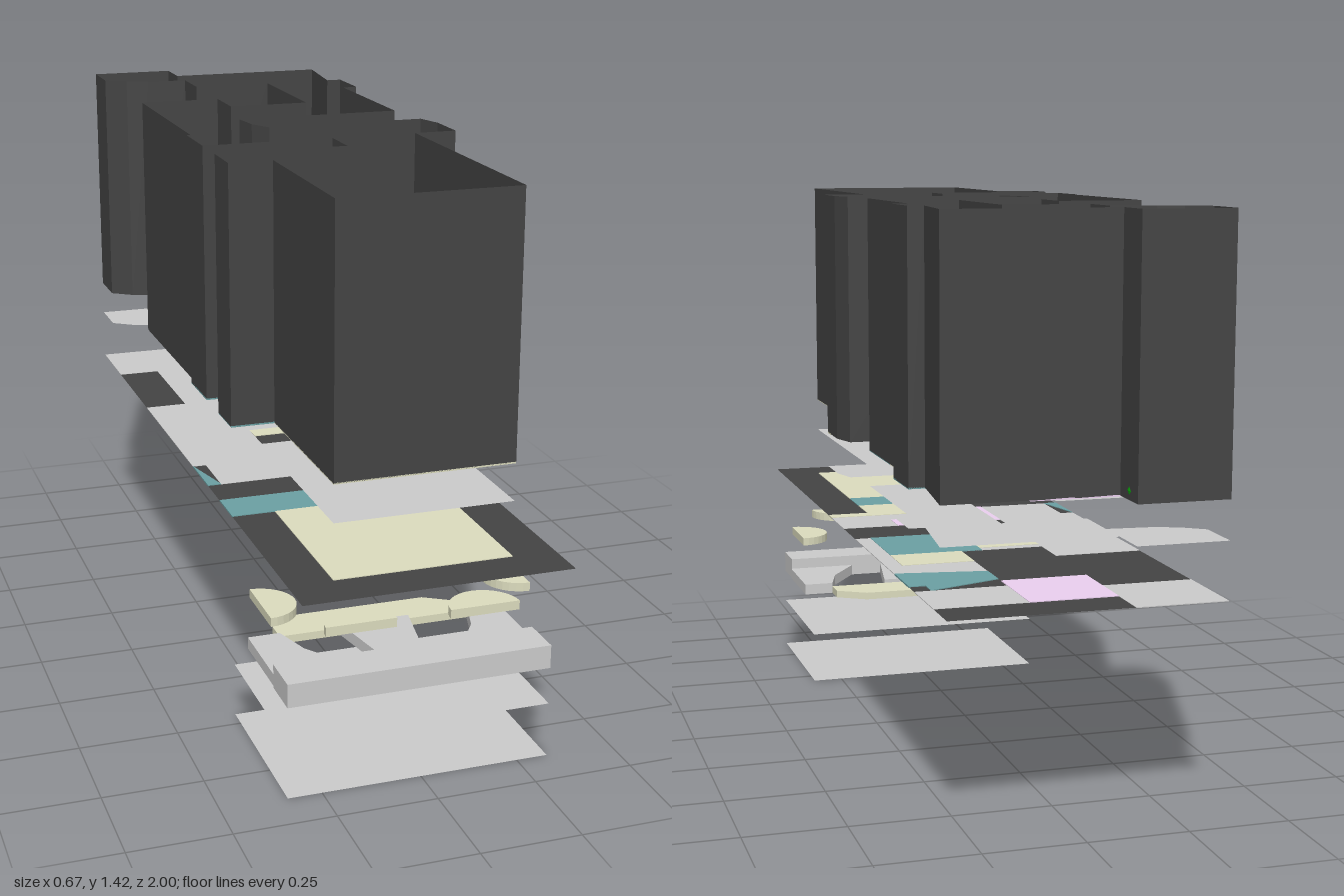
import * as THREE from 'three';

const GREY = 0xcccccc, DARK = 0x444444, TAN = 0xdcdcbe, TEAL = 0x6ba0a3;
const PINK = 0xebcff0, CYAN = 0x14ffff, GREEN = 0x0aa60a;
const FLOOR = 0.775;
const materials = {};

function mat(color) {
  return materials[color] ??= new THREE.MeshStandardMaterial({
    color, flatShading: true, side: THREE.DoubleSide });
}

function add(parent, name, geometry, color) {
  const mesh = new THREE.Mesh(geometry, mat(color));
  mesh.name = name;
  parent.add(mesh);
  return mesh;
}

const rect = (x0, x1, z0, z1) => [[x0, z0], [x1, z0], [x1, z1], [x0, z1]];
const toShape = (pts) => new THREE.Shape(pts.map(([x, z]) => new THREE.Vector2(x, z)));

// flat sheet in the ground plane
function sheet(parent, name, pts, y, color) {
  const g = new THREE.ShapeGeometry(toShape(pts)).rotateX(Math.PI / 2).translate(0, y, 0);
  return add(parent, name, g, color);
}

// plan outline raised from y0 to y1
function slab(parent, name, pts, y0, y1, color) {
  const g = new THREE.ExtrudeGeometry(toShape(pts), { depth: y1 - y0, bevelEnabled: false });
  return add(parent, name, g.rotateX(Math.PI / 2).translate(0, y1, 0), color);
}

function box(parent, name, x, z, w, d, y0, y1, color, turn = 0) {
  const m = add(parent, name, new THREE.BoxGeometry(w, y1 - y0, d), color);
  m.position.set(x, (y0 + y1) / 2, z);
  m.rotation.y = turn;
  return m;
}

// half disc bulging towards the given angle in plan
function halfDisc(cx, cz, r, angle, n = 16) {
  return Array.from({ length: n + 1 }, (_, i) => {
    const a = angle - Math.PI / 2 + (Math.PI * i) / n;
    return [cx + r * Math.cos(a), cz + r * Math.sin(a)];
  });
}

// outline of all rooms, followed by the walls
const OUTLINE = [
  [-0.225, 0.89], [0.22, 0.89], [0.22, 0.22], [0.33, 0.22], [0.33, 0.1], [0.31, 0.03],
  [-0.105, 0.03], [-0.135, -0.03], [-0.145, -0.11],
  [0.29, -0.11], [0.29, -0.525], [0.33, -0.53], [0.33, -0.67], [0.29, -0.67], [0.315, -0.89],
  [-0.11, -0.89], [-0.11, -1], [-0.335, -1], [-0.335, -0.87], [-0.28, -0.83], [-0.22, -0.81],
  [-0.11, -0.8], [-0.11, -0.67], [0.105, -0.67], [0.105, -0.31], [-0.11, -0.31],
  [-0.11, -0.445], [-0.325, -0.445], [-0.325, 0.07], [-0.335, 0.07], [-0.335, 0.22],
  [0, 0.22], [0, 0.33], [-0.335, 0.33], [-0.335, 0.445], [-0.225, 0.445],
];

// coloured room areas
const ROOMS = [
  ['frontHall', TAN, rect(-0.225, 0.22, 0.445, 0.89)],
  ['crossPassage', TEAL, rect(-0.335, 0.22, 0.33, 0.445)],
  ['linkRoom', TAN, rect(0.09, 0.22, 0.22, 0.33)],
  ['linkStrip', TAN, rect(0.09, 0.33, 0.18, 0.22)],
  ['middleRoom', PINK, [[-0.11, 0.03], [0.18, 0.03], [0.18, 0.11], [0.09, 0.11], [0.09, 0.22], [-0.11, 0.22]]],
  ['sideWedge', TEAL, [[-0.335, 0.07], [-0.3, 0.22], [-0.335, 0.22]]],
  ['innerRoom', TAN, rect(-0.11, 0.05, -0.305, -0.11)],
  ['pool', TEAL, rect(0.05, 0.29, -0.33, -0.11)],
  ['landing', TAN, rect(0.105, 0.29, -0.45, -0.33)],
  ['bayRoom', TEAL, [[0.105, -0.65], [0.29, -0.72], [0.29, -0.67], [0.33, -0.67], [0.33, -0.53], [0.105, -0.565]]],
  ['backRoom', PINK, rect(-0.11, 0.105, -0.89, -0.67)],
];

// grey areas that show on the dark base plan
const GREY_AREAS = [
  rect(-0.335, -0.11, -1, -0.78), rect(-0.335, -0.11, -0.445, 0.07),
  rect(-0.3, -0.11, 0.07, 0.22), rect(0.18, 0.33, 0.03, 0.18), rect(0.09, 0.18, 0.11, 0.18),
  rect(0, 0.09, 0.22, 0.33), rect(0.105, 0.33, -0.89, -0.72), rect(0.105, 0.29, -0.565, -0.45),
  rect(0.29, 0.33, -0.53, -0.11), rect(-0.11, 0.105, -0.33, -0.305),
];

function addRooms(parent, y) {
  for (const [name, color, pts] of ROOMS) slab(parent, name, pts, y - 0.002, y + 0.002, color);
}

function buildWalls() {
  const positions = [], index = [];
  OUTLINE.forEach(([x, z], i) => {
    const [x2, z2] = OUTLINE[(i + 1) % OUTLINE.length];
    positions.push(x, FLOOR, z, x2, FLOOR, z2, x2, 1.425, z2, x, 1.425, z);
    const k = i * 4;
    index.push(k, k + 1, k + 2, k, k + 2, k + 3);
  });
  const g = new THREE.BufferGeometry();
  g.setAttribute('position', new THREE.Float32BufferAttribute(positions, 3));
  g.setIndex(index);
  g.computeVertexNormals();
  return g;
}

function buildProps() {
  const g = new THREE.Group();
  g.name = 'furnishings';
  const y = FLOOR + 0.002;
  // consoles in the front hall
  for (const x of [-0.153, 0.146]) box(g, 'sideConsole', x, 0.665, 0.085, 0.045, y, y + 0.02, CYAN);
  box(g, 'centreConsole', -0.002, 0.679, 0.12, 0.025, y, y + 0.02, CYAN);
  box(g, 'consoleBench', -0.002, 0.647, 0.12, 0.025, y, y + 0.025, GREY);
  // crates and boards
  box(g, 'board', 0.2, -0.635, 0.17, 0.05, y, y + 0.015, TAN, -0.1);
  box(g, 'crate', 0.098, -0.197, 0.035, 0.04, y, y + 0.025, TAN);
  box(g, 'crate', 0.152, -0.135, 0.04, 0.03, y, y + 0.025, TAN);
  box(g, 'crate', 0.258, -0.165, 0.05, 0.085, y, y + 0.025, TAN);
  box(g, 'step', 0.262, 0.165, 0.075, 0.03, FLOOR - 0.004, y + 0.015, TAN);
  box(g, 'bench', -0.278, -0.965, 0.06, 0.04, y, y + 0.015, GREY, 0.25);
  // bushes
  for (const [x, z, r] of [[-0.135, -0.945, 0.027], [-0.145, 0.07, 0.014], [-0.145, 0.195, 0.014]]) {
    const bush = add(g, 'bush', new THREE.SphereGeometry(r, 12, 8), GREEN);
    bush.position.set(x, FLOOR + r * 0.8, z);
    bush.scale.z = r > 0.02 ? 1.5 : 1;
  }
  return g;
}

function buildLowerHall() {
  const g = new THREE.Group();
  g.name = 'lowerHall';
  const area = rect(-0.335, 0.33, 0.45, 0.89);
  sheet(g, 'lowerBaseSheet', area, 0, GREY);
  sheet(g, 'lowerMiddleSheet', area, 0.14, GREY);
  // stepped tiers
  slab(g, 'frontTier', rect(-0.335, 0.33, 0.78, 0.89), 0.235, 0.295, GREY);
  for (const s of [-1, 1]) {
    const arm = [[0.332, 0.78], [0.332, 0.56], [0.25, 0.56], [0.22, 0.66], [0.14, 0.78]];
    slab(g, 'sideTier', arm.map(([x, z]) => [s * x, z]), 0.235, 0.265, GREY);
    slab(g, 'frontBalcony', halfDisc(s * 0.155, 0.89, 0.0875, -Math.PI / 2), 0.402, 0.425, TAN);
    slab(g, 'sideBalcony', halfDisc(s * 0.332, 0.667, 0.0875, s > 0 ? Math.PI : 0), 0.38, 0.402, TAN);
  }
  slab(g, 'centreWalk', [[-0.09, 0.56], [0.09, 0.56], [0.05, 0.78], [-0.05, 0.78]], 0.235, 0.265, GREY);
  // low stage
  slab(g, 'stage', [[-0.25, 0.56], [-0.25, 0.5], [-0.17, 0.45], [0.17, 0.45], [0.25, 0.5], [0.25, 0.56]],
    0.235, 0.255, TAN);
  return g;
}

export function createModel() {
  const model = new THREE.Group();
  model.name = 'layeredBuildingPlan';

  // base plan
  const plan = new THREE.Group();
  plan.name = 'basePlan';
  sheet(plan, 'planSheet', rect(-0.335, 0.33, -1, 1), 0.54, DARK);
  for (const pts of GREY_AREAS) slab(plan, 'planGreyArea', pts, 0.539, 0.541, GREY);
  addRooms(plan, 0.54);
  model.add(plan);

  // middle sheet, room floors and walls
  sheet(model, 'middleSheet', OUTLINE, 0.68, GREY);
  const floors = new THREE.Group();
  floors.name = 'roomFloors';
  sheet(floors, 'floorSheet', OUTLINE, FLOOR, GREY);
  addRooms(floors, FLOOR);
  model.add(floors);
  add(model, 'walls', buildWalls(), DARK);

  model.add(buildProps(), buildLowerHall());
  return model;
}
